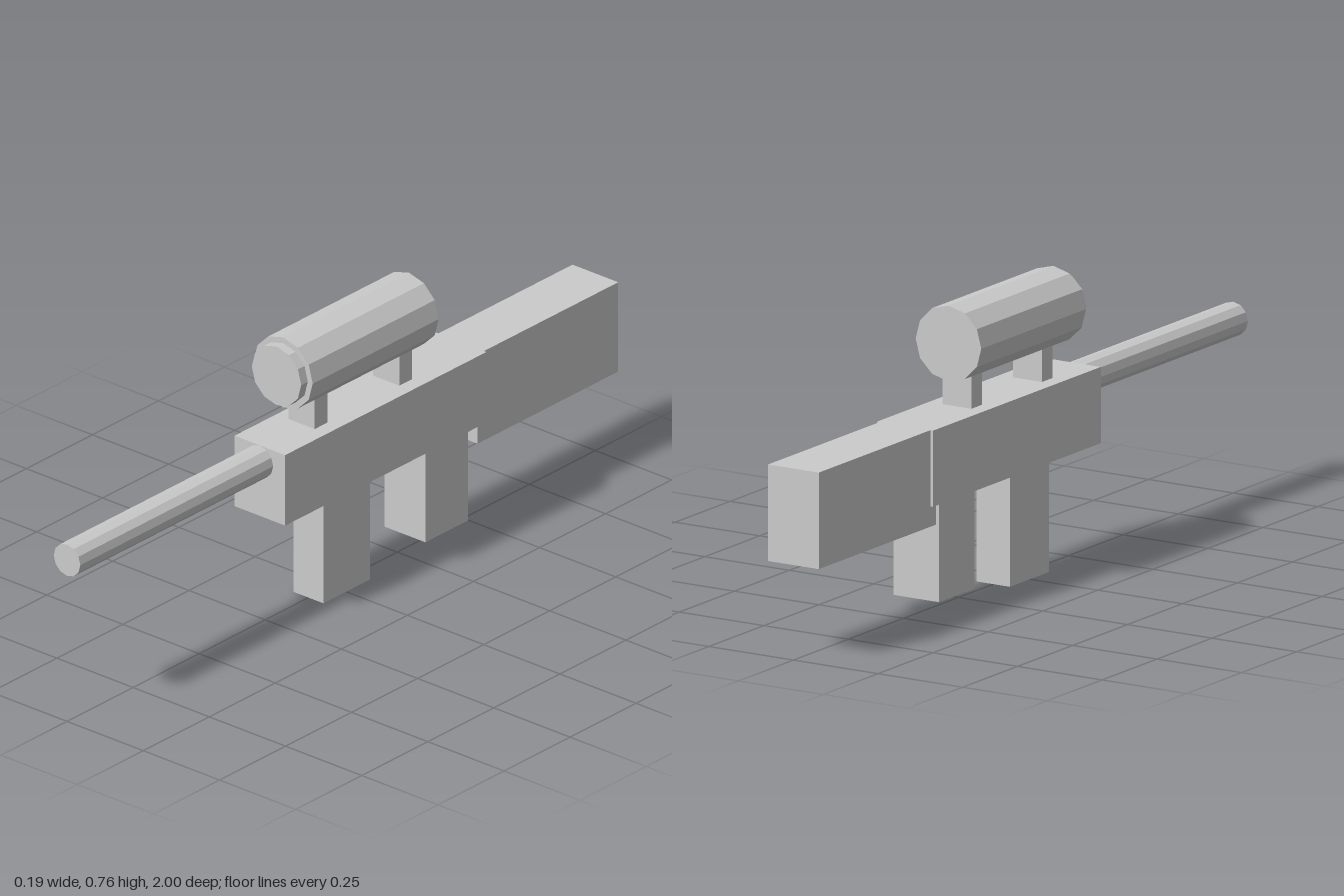
import * as THREE from 'three';

export function createModel() {
  const model = new THREE.Group();
  const material = new THREE.MeshStandardMaterial({ color: 0xcccccc, flatShading: true });

  function add(name, geometry, y, z) {
    const mesh = new THREE.Mesh(geometry, material);
    mesh.name = name;
    mesh.position.set(0, y, z);
    model.add(mesh);
  }

  // Box centred on x = 0, given its width and y / z extents
  function block(name, width, y0, y1, z0, z1) {
    add(name, new THREE.BoxGeometry(width, y1 - y0, z1 - z0), (y0 + y1) / 2, (z0 + z1) / 2);
  }

  // Twelve-sided cylinder lying along z
  function tube(name, radius, y, z0, z1) {
    const geometry = new THREE.CylinderGeometry(radius, radius, z1 - z0, 12).rotateX(Math.PI / 2);
    add(name, geometry, y, (z0 + z1) / 2);
  }

  // Body
  block('receiver', 0.166, 0.295, 0.49, -0.492, 0.27);
  block('stock', 0.15, 0.243, 0.49, -1, -0.467);
  tube('barrel', 0.0435, 0.446, 0.26, 1);

  // Parts below the receiver
  block('magazine', 0.098, 0, 0.3, -0.091, 0.086);
  block('grip', 0.134, 0.038, 0.3, -0.441, -0.279);

  // Scope on two mounts
  block('frontScopeMount', 0.086, 0.485, 0.59, 0.064, 0.112);
  block('rearScopeMount', 0.086, 0.485, 0.59, -0.257, -0.208);
  tube('scopeTube', 0.097, 0.659, -0.295, 0.182);
  tube('scopeLens', 0.081, 0.659, 0.17, 0.207);

  return model;
}
